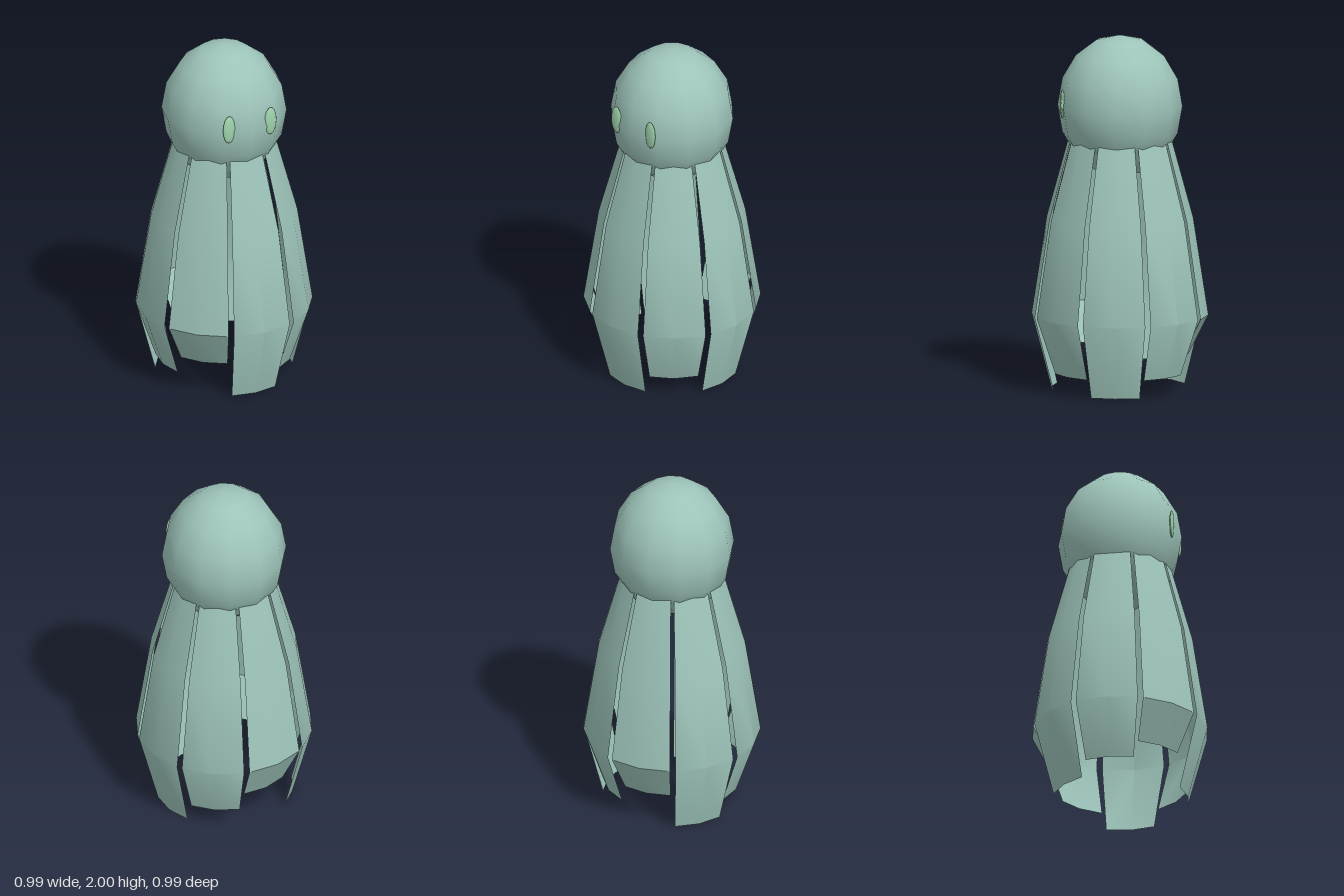
import * as THREE from 'three';
import { toCreasedNormals } from 'three/addons/utils/BufferGeometryUtils.js';

export function createModel() {
  const group = new THREE.Group();
  const cloth = new THREE.MeshStandardMaterial({ name: 'pale teal', color: 0x9dc4ba, side: THREE.DoubleSide });
  const glow = new THREE.MeshStandardMaterial({ name: 'light green', color: 0x9fd4ae });

  function add(name, geometry, material) {
    const mesh = new THREE.Mesh(geometry, material);
    mesh.name = name;
    group.add(mesh);
    return mesh;
  }

  // Head: a slightly tall low-poly ball
  const head = add('head', new THREE.SphereGeometry(0.35, 12, 8), cloth);
  head.scale.y = 0.4 / 0.35;
  head.position.y = 1.6;

  // Eyes: flat ovals, one on each side
  for (const side of [-1, 1]) {
    const eye = add(side > 0 ? 'leftEye' : 'rightEye', new THREE.SphereGeometry(1, 12, 8), glow);
    eye.scale.set(0.038, 0.083, 0.013);
    eye.position.set(side * 0.13, 1.627, 0.314);
  }

  // Robe: eight separate strips with hems at different heights
  const hems = {
    front: 0, frontLeft: 0.1, left: 0, backLeft: 0.1,
    back: 0.2, backRight: 0, right: 0.1, frontRight: 0.2,
  };
  const spread = THREE.MathUtils.degToRad(41.4);
  Object.entries(hems).forEach(([place, hem], i) => {
    const profile = [[0.385, hem], [0.495, 0.42], [0.41, 0.97], [0.265, 1.5]]
      .map(([r, y]) => new THREE.Vector2(r, y));
    const strip = new THREE.LatheGeometry(profile, 2, i * Math.PI / 4 - spread / 2, spread);
    add(place + 'RobeStrip', toCreasedNormals(strip, Math.PI / 6), cloth);
  });

  return group;
}
